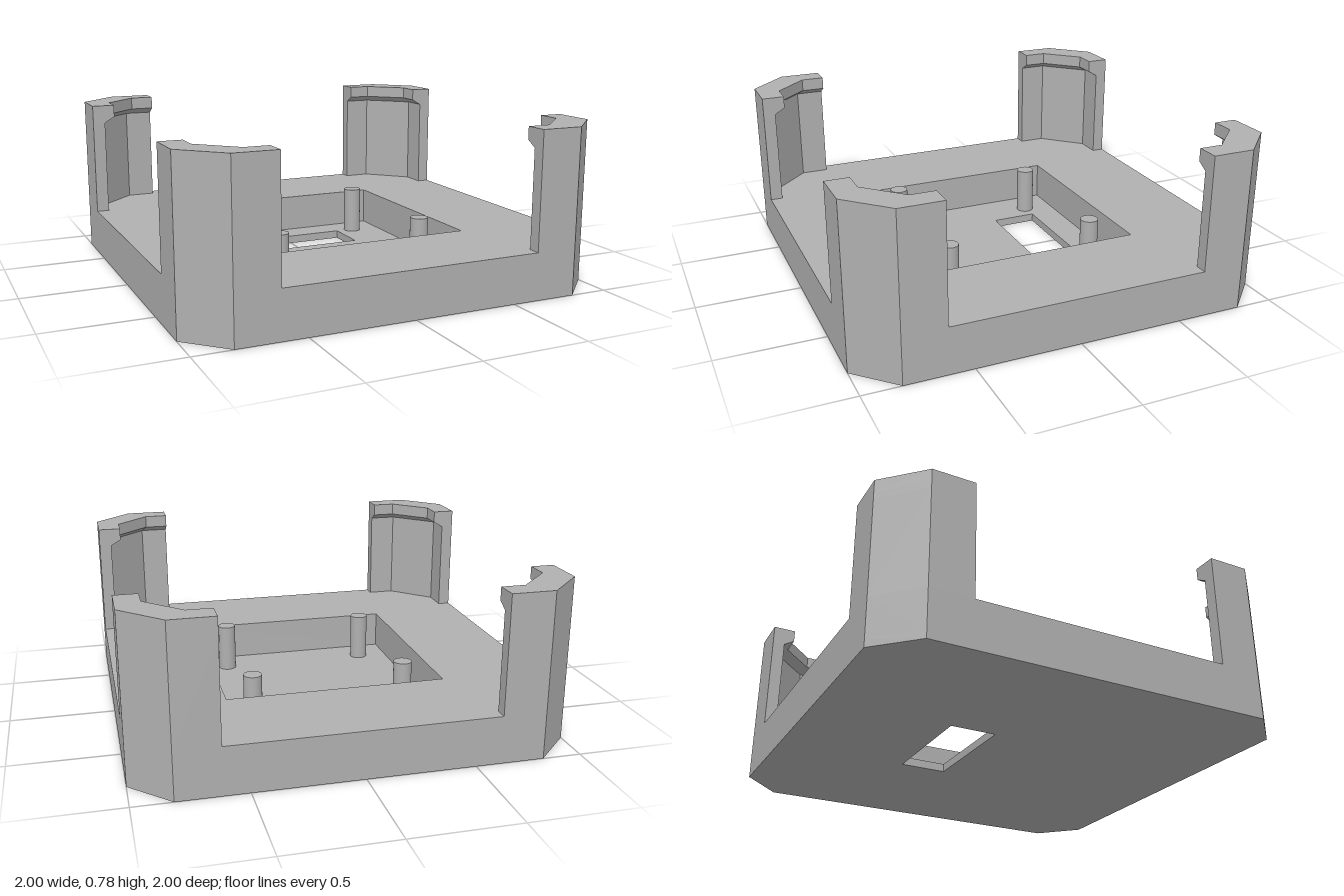
import * as THREE from 'three';

const FLOOR = 0.04, DECK = 0.225, TOP = 0.78, PEG_TOP = 0.275;

const grey = new THREE.MeshStandardMaterial({ color: 0xb0b0b0 });
grey.name = 'grey plastic';

const octagon = () => new THREE.Shape([
  [1, -0.82], [1, 0.82], [0.82, 1], [-0.82, 1],
  [-1, 0.82], [-1, -0.82], [-0.82, -1], [0.82, -1],
].map(([x, y]) => new THREE.Vector2(x, y)));

const rectHole = (x0, x1, y0, y1) => new THREE.Path([
  new THREE.Vector2(x0, y0), new THREE.Vector2(x0, y1),
  new THREE.Vector2(x1, y1), new THREE.Vector2(x1, y0),
]);

// Flat octagonal slab with one rectangular opening, lying from y0 to y1
function slab(name, hole, y0, y1) {
  const shape = octagon();
  shape.holes.push(hole);
  const geo = new THREE.ExtrudeGeometry(shape, { depth: y1 - y0, bevelEnabled: false });
  geo.rotateX(-Math.PI / 2).translate(0, y0, 0);
  const mesh = new THREE.Mesh(geo, grey);
  mesh.name = name;
  return mesh;
}

// Corner post outline (x, z) with walls reaching in to "inner"
function postOutline(inner) {
  const d = 0.73 + (inner - 0.89) * (Math.SQRT2 - 1);
  return [[1, 0.617], [inner, 0.617], [inner, d], [d, inner],
    [0.617, inner], [0.617, 1], [0.82, 1], [1, 0.82]];
}

// Thin angled wall that widens into a clip lip with a sloping underside
function postGeometry() {
  const wall = postOutline(0.94), lip = postOutline(0.89);
  const levels = [[DECK, wall], [0.69, wall], [0.72, lip], [TOP, lip]];
  const pos = [];
  const put = (level, i) => {
    const [y, ring] = levels[level];
    pos.push(ring[i][0], y, ring[i][1]);
  };
  for (let k = 0; k < levels.length - 1; k++) {
    for (let i = 0; i < 8; i++) {
      const j = (i + 1) % 8;
      put(k, i); put(k, j); put(k + 1, j);
      put(k, i); put(k + 1, j); put(k + 1, i);
    }
  }
  const cap = lip.map(([x, z]) => new THREE.Vector2(x, -z));
  for (const tri of THREE.ShapeUtils.triangulateShape(cap, [])) tri.forEach((i) => put(3, i));
  const geo = new THREE.BufferGeometry();
  geo.setAttribute('position', new THREE.Float32BufferAttribute(pos, 3));
  geo.computeVertexNormals();
  return geo;
}

export function createModel() {
  const model = new THREE.Group();
  model.name = 'mountingTray';

  // Floor with cable slot, and the thick frame around the square pocket
  model.add(slab('floorPlate', rectHole(-0.28, 0.28, 0.15, 0.375), 0, FLOOR));
  model.add(slab('pocketFrame', rectHole(-0.52, 0.52, -0.52, 0.52), FLOOR, DECK));

  // Four clip posts, one for each corner
  const postGeo = postGeometry();
  for (let i = 0; i < 4; i++) {
    const post = new THREE.Mesh(postGeo, grey);
    post.name = 'cornerPost';
    post.rotation.y = i * Math.PI / 2;
    model.add(post);
  }

  // Locating pegs standing on the pocket floor
  const pegGeo = new THREE.CylinderGeometry(0.044, 0.044, PEG_TOP - FLOOR, 32);
  for (const x of [-0.37, 0.37]) {
    for (const z of [-0.37, 0.37]) {
      const peg = new THREE.Mesh(pegGeo, grey);
      peg.name = 'peg';
      peg.position.set(x, (PEG_TOP + FLOOR) / 2, z);
      model.add(peg);
    }
  }
  return model;
}
